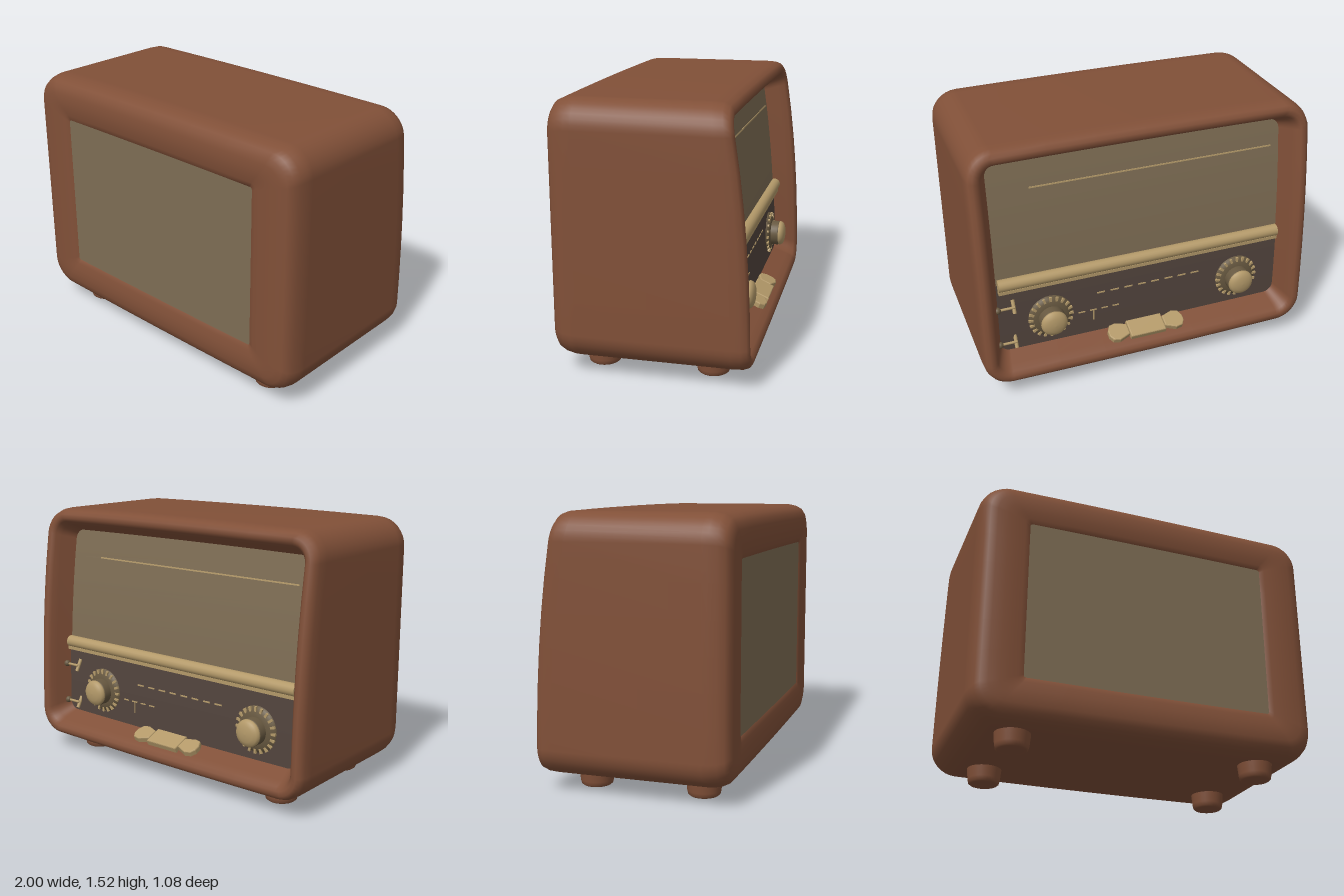
import * as THREE from 'three';

const mat = (name, color) => {
  const m = new THREE.MeshStandardMaterial({ color });
  m.name = name;
  return m;
};

// The back face leans forward toward the top along a gentle curve.
const backZ = (y) => -0.545 + 0.035 * y * y + 0.0125 * y * y * y;

// Closed rounded rectangle with a slight crown, anticlockwise seen from +z, inset from the cabinet outline.
function outline(ix, iy, r) {
  const w = 1 - ix, y0 = 0.095 + iy, y1 = 1.515 - iy, seg = 8, side = 6;
  const pts = [];
  const corners = [[w - r, y0 + r, -0.5], [w - r, y1 - r, 0], [-w + r, y1 - r, 0.5], [-w + r, y0 + r, 1]];
  const at = ([cx, cy, s], t) => {
    const a = (s + t * 0.5) * Math.PI;
    return new THREE.Vector2(cx + r * Math.cos(a), cy + r * Math.sin(a));
  };
  corners.forEach((c, k) => {
    for (let i = 0; i <= seg; i++) pts.push(at(c, i / seg));
    const end = at(c, 1), next = at(corners[(k + 1) % 4], 0);
    for (let i = 1; i < side; i++) pts.push(end.clone().lerp(next, i / side));
  });
  for (const p of pts) p.y += 0.008 * (1 - p.x * p.x) * (p.y - 0.805) / 0.71;
  return pts;
}

// Cabinet shell: front frame, outer walls, back rim and recess as one loft.
function cabinetGeometry() {
  // inset x, inset y, corner radius, z
  const front = [
    [0.285, 0.247, 0.012, 0.51], [0.28, 0.242, 0.015, 0.522], [0.25, 0.213, 0.03, 0.53],
    [0.2, 0.175, 0.05, 0.537], [0.15, 0.135, 0.07, 0.54], [0.09, 0.09, 0.1, 0.537],
    [0.05, 0.055, 0.125, 0.527], [0.025, 0.028, 0.14, 0.507], [0.009, 0.01, 0.15, 0.47], [0.001, 0.001, 0.155, 0.425],
    [0, 0, 0.155, 0.39],
  ];
  // inset x, inset y, corner radius, depth behind the leaning back face
  const back = [
    [0, 0, 0.155, 0.1], [0.004, 0.004, 0.15, 0.045], [0.014, 0.016, 0.14, 0.014], [0.035, 0.036, 0.12, 0],
    [0.06, 0.06, 0.1, 0.003], [0.078, 0.08, 0.085, 0.02], [0.092, 0.1, 0.075, 0.06], [0.14, 0.155, 0.05, 0.18],
  ];
  const pos = [], idx = [];
  let n = 0;
  for (const [ix, iy, r, z] of front) {
    const pts = outline(ix, iy, r);
    n = pts.length;
    for (const p of pts) pos.push(p.x, p.y, z);
  }
  for (const [ix, iy, r, d] of back)
    for (const p of outline(ix, iy, r)) pos.push(p.x, p.y, backZ(p.y) + d);
  for (let i = 0; i < front.length + back.length - 1; i++)
    for (let j = 0; j < n; j++) {
      const a = i * n + j, b = i * n + (j + 1) % n, c = a + n, d = b + n;
      idx.push(a, c, b, b, c, d);
    }
  const g = new THREE.BufferGeometry();
  g.setAttribute('position', new THREE.Float32BufferAttribute(pos, 3));
  g.setIndex(idx);
  g.computeVertexNormals();
  return g;
}

// Plate that follows the leaning back face at a given depth.
function backPlate(x0, x1, y0, y1, depth, thick) {
  const g = new THREE.BoxGeometry(x1 - x0, y1 - y0, thick, 1, 8, 1);
  g.translate((x0 + x1) / 2, (y0 + y1) / 2, 0);
  const p = g.attributes.position;
  for (let i = 0; i < p.count; i++) p.setZ(i, p.getZ(i) + backZ(p.getY(i)) + depth + thick / 2);
  g.computeVertexNormals();
  return g;
}

const lathe = (profile) => new THREE.LatheGeometry(profile.map(([x, y]) => new THREE.Vector2(x, y)), 32);

export function createModel() {
  const wood = mat('brown wood', 0x815038);
  const cloth = mat('speaker cloth', 0x7e6d54);
  const brass = mat('pale brass', 0xb39969);
  const dark = mat('dark dial glass', 0x52443d);
  const bronze = mat('knob bronze', 0x675840);

  const model = new THREE.Group();
  model.name = 'tableRadio';
  const add = (name, geo, material, parent = model) => {
    const m = new THREE.Mesh(geo, material);
    m.name = name;
    parent.add(m);
    return m;
  };

  add('cabinet', cabinetGeometry(), wood);
  add('frontPanel', new THREE.BoxGeometry(1.45, 0.955, 0.02).translate(0, 0.805, 0.511), cloth);

  // Tapered feet
  const footProfile = [[0, 0], [0.078, 0], [0.088, 0.008], [0.093, 0.03], [0.103, 0.13]];
  for (const x of [-0.715, 0.715])
    for (const z of [0.323, -0.302])
      add('foot', lathe(footProfile).translate(x, 0, z), wood);

  // Recessed back face: cloth above, dial below
  add('speakerCloth', backPlate(-0.895, 0.895, 0.62, 1.41, 0.15, 0.02), cloth);
  add('dialPlate', backPlate(-0.895, 0.895, 0.2, 0.67, 0.145, 0.02), dark);
  add('clothTrim', backPlate(-0.82, 0.64, 1.216, 1.224, 0.147, 0.005), brass);

  // Trim bar between cloth and dial
  const bar = new THREE.Group();
  bar.name = 'trimBar';
  model.add(bar);
  const barZ = backZ(0.68) + 0.135;
  add('barRod', new THREE.CylinderGeometry(0.036, 0.036, 1.73, 20).rotateZ(Math.PI / 2).translate(0, 0.675, barZ), brass, bar);
  add('barLedge', new THREE.BoxGeometry(1.73, 0.02, 0.05).translate(0, 0.637, barZ), brass, bar);

  // Fine scale marks on the dial
  for (let i = 0; i < 8; i++) {
    const x = 0.26 - i * 0.085;
    add('scaleMark', backPlate(x - 0.025, x + 0.025, 0.487, 0.495, 0.141, 0.005), brass);
  }
  for (let i = 0; i < 4; i++) {
    const x = 0.38 - i * 0.07;
    add('scaleMark', backPlate(x - 0.02, x + 0.02, 0.377, 0.384, 0.141, 0.005), brass);
  }
  add('scaleNeedle', backPlate(0.305, 0.312, 0.31, 0.38, 0.141, 0.005), brass);

  // Control knobs: flared base ring with inlays, bronze body and domed cap
  for (const x of [-0.608, 0.57]) {
    const knob = new THREE.Group();
    knob.name = 'knob';
    knob.position.set(x, 0.405, -0.385);
    knob.rotation.x = -Math.PI / 2;
    model.add(knob);
    add('knobRing', lathe([[0.142, -0.05], [0.14, -0.005], [0.128, 0.015], [0.105, 0.028], [0.078, 0.032]]), bronze, knob);
    add('knobBody', lathe([[0.078, 0.025], [0.079, 0.075], [0.072, 0.08]]), bronze, knob);
    add('knobCap', lathe([[0.072, 0.078], [0.078, 0.083], [0.077, 0.093], [0.068, 0.106], [0.045, 0.115], [0.02, 0.119], [0, 0.12]]), brass, knob);
    for (let i = 0; i < 20; i++) {
      const a = (i / 20) * Math.PI * 2;
      const inlay = add('knobInlay', new THREE.BoxGeometry(0.045, 0.012, 0.014), brass, knob);
      inlay.position.set(Math.cos(a) * 0.112, 0.021, Math.sin(a) * 0.112);
      inlay.rotation.y = -a;
    }
  }

  // Push buttons lying on the sloping lower ledge
  const buttons = new THREE.Group();
  buttons.name = 'pushButtons';
  buttons.position.set(0, 0.2, -0.443);
  buttons.rotation.x = -0.4;
  model.add(buttons);
  const bevel = { depth: 0.03, bevelEnabled: true, bevelSize: 0.007, bevelThickness: 0.008, bevelSegments: 3 };
  const button = (pts) => new THREE.ExtrudeGeometry(new THREE.Shape(pts.map(([x, y]) => new THREE.Vector2(x, y))), bevel)
    .rotateX(-Math.PI / 2);
  add('centreButton', button([[-0.104, -0.05], [0.104, -0.05], [0.104, 0.05], [-0.104, 0.05]]), brass, buttons);
  const sidePts = [[0.12, -0.03], [0.18, -0.05], [0.215, -0.043], [0.231, -0.012], [0.231, 0.02], [0.215, 0.045], [0.18, 0.052], [0.12, 0.028]];
  add('sideButton', button(sidePts), brass, buttons);
  add('sideButton', button(sidePts.map(([x, y]) => [-x, y]).reverse()), brass, buttons);

  // Small levers on the left wall of the recess
  for (const y of [0.53, 0.29]) {
    const lever = new THREE.Group();
    lever.name = 'sideLever';
    lever.position.set(0.835, y, -0.415);
    model.add(lever);
    add('leverStem', new THREE.CylinderGeometry(0.008, 0.008, 0.11, 10).rotateZ(Math.PI / 2), brass, lever);
    add('leverBead', new THREE.SphereGeometry(0.02, 14, 10).translate(0.045, 0, 0), bronze, lever);
    add('leverFork', new THREE.CylinderGeometry(0.011, 0.011, 0.08, 10).rotateX(0.5).translate(-0.05, 0, 0.01), brass, lever);
  }
  return model;
}
